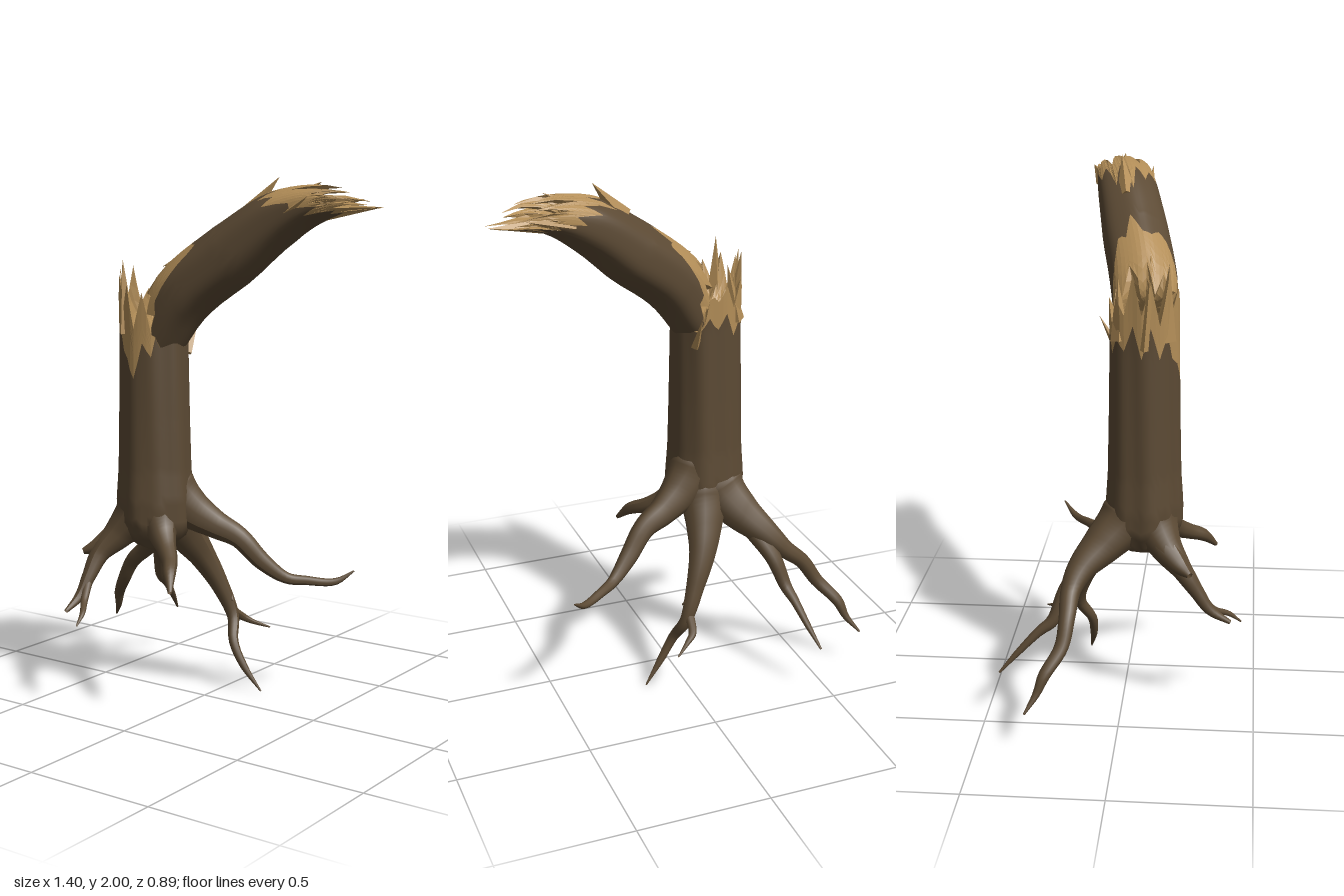
import * as THREE from 'three';
import { ParametricGeometry } from 'three/addons/geometries/ParametricGeometry.js';

const V = (p) => new THREE.Vector3(...p);
const { lerp, clamp, smoothstep } = THREE.MathUtils;
const COLS = 24; // columns around every broken edge

// Small seeded generator for the splinter pattern
function seeded(seed) {
  return () => {
    seed = (seed * 16807) % 2147483647;
    return seed / 2147483647;
  };
}

// Piecewise linear saw pattern around a ring, u in 0..1, values about -1..1
function jagged(seed) {
  const rnd = seeded(seed * 7919);
  const t = Array.from({ length: COLS }, (_, i) => (i % 2 ? 1.2 * rnd() : -0.2 - 0.8 * rnd()));
  return (u) => {
    const x = (((u % 1) + 1) % 1) * COLS, i = Math.floor(x) % COLS;
    return lerp(t[i], t[(i + 1) % COLS], x - Math.floor(x));
  };
}

// Linear lookup in a list of [key, value]
function table(rows, k) {
  for (let i = 1; i < rows.length; i++) {
    const [a, va] = rows[i - 1], [b, vb] = rows[i];
    if (k <= b) return lerp(va, vb, clamp((k - a) / (b - a), 0, 1));
  }
  return rows[rows.length - 1][1];
}

export function createModel() {
  const group = new THREE.Group();
  const bark = new THREE.MeshStandardMaterial({ color: 0x5c4a34, side: THREE.DoubleSide });
  bark.name = 'bark';
  const wood = new THREE.MeshStandardMaterial({ color: 0xb38e58, side: THREE.DoubleSide });
  wood.name = 'bareWood';

  const add = (name, geo, mat) => {
    const m = new THREE.Mesh(geo, mat);
    m.name = name;
    group.add(m);
    return m;
  };

  // Surface around a limb between two edges; at(u, s, target) gives a point on it
  const band = (name, at, from, to, rows) =>
    add(name, new ParametricGeometry((u, v, out) => at(u, lerp(from(u), to(u), v), out), COLS * 2, rows), bark);

  // Splintered edge: outside from border to tip, then back in to a floor on the limb's axis
  const splinters = (name, at, border, tip, mid, floor) => {
    const geo = new ParametricGeometry((u, v, out) => {
      if (v <= 0.5) at(u, lerp(border(u), tip(u), v * 2), out);
      else {
        const k = (v - 0.5) * 2, s = lerp(tip(u), floor, 1 - (1 - k) ** 3);
        at(u, s, out);
        out.lerp(mid(s), k);
      }
    }, COLS * 2, 12).toNonIndexed();
    geo.computeVertexNormals();
    add(name, geo, wood);
  };

  // Trunk
  const profile = [[0.57, 0.001], [0.6, 0.075], [0.64, 0.125], [0.7, 0.15], [0.78, 0.152], [0.9, 0.143], [1.1, 0.138], [1.4, 0.133], [1.75, 0.137]];
  const trunkAt = (u, y, out) => {
    const a = u * Math.PI * 2;
    const r = table(profile, y) * (1 + 0.025 * Math.cos(5 * a + 1) + 0.015 * Math.cos(9 * a + y * 2));
    out.set(-0.183 + Math.cos(a) * r, y, 0.07 - Math.sin(a) * r * 0.95);
  };
  const j1 = jagged(11), j2 = jagged(77);
  // 1 where the trunk stays joined to the fallen part, 0 on the broken side
  const hinge = (u) => {
    const a = u * Math.PI * 2, back = Math.sin(a) > 0 ? 0.3 : 0;
    return smoothstep(Math.cos(a), 0.45 - back, 0.85 - back);
  };
  const trunkTip = (u) =>
    lerp(1.53 - 0.05 * Math.cos(u * Math.PI * 2) + 0.09 * j1(u), 1.4, hinge(u));
  const trunkBorder = (u) => {
    const front = Math.max(0, -Math.sin(u * Math.PI * 2));
    const edge = 1.42 + 0.06 * j2(u) - 0.12 * front ** 6;
    return Math.min(trunkTip(u) - 0.002, lerp(edge, trunkTip(u), hinge(u)));
  };
  band('trunkBark', trunkAt, () => 0.57, trunkBorder, 24);
  splinters('trunkSplinters', trunkAt, trunkBorder, trunkTip, (s) => V([-0.183, s, 0.07]), 1.46);

  // Fallen upper trunk, hinged on the stump
  const axis = new THREE.CatmullRomCurve3([
    [-0.17, 1.4, 0.075], [-0.045, 1.575, 0.06], [0.14, 1.72, 0.015],
    [0.325, 1.855, -0.03], [0.5, 1.91, -0.065], [0.7, 1.897, -0.11]].map(V));
  const high = [[0, 0.11], [0.2, 0.12], [0.4, 0.12], [0.6, 0.1], [0.8, 0.058], [1, 0.008]];
  const wide = [[0, 0.115], [0.2, 0.125], [0.4, 0.125], [0.6, 0.115], [0.8, 0.105], [1, 0.04]];
  const logAt = (u, s, out) => {
    const a = u * Math.PI * 2, t = axis.getTangent(s);
    const up = new THREE.Vector3(0, 1, 0).addScaledVector(t, -t.y).normalize();
    const side = t.clone().cross(up);
    const k = 1 + 0.02 * Math.cos(6 * a);
    out.copy(axis.getPoint(s))
      .addScaledVector(up, Math.cos(a) * table(high, s) * k)
      .addScaledVector(side, Math.sin(a) * table(wide, s) * k);
  };
  const logMid = (s) => axis.getPoint(s);
  const j3 = jagged(301), j4 = jagged(47), j5 = jagged(905), j6 = jagged(63);
  const topness = (u) => Math.cos(u * Math.PI * 2);
  const lowTip = (u) => clamp(0.08 + 0.1 * topness(u) - 0.05 * j3(u) * smoothstep(topness(u), -0.5, 0.2), 0, 1);
  const lowBorder = (u) => lowTip(u) + 0.002 + smoothstep(topness(u), -0.2, 1) * (0.16 + 0.06 * j4(u));
  const endTip = (u) => clamp(0.84 - 0.07 * topness(u) + 0.1 * j5(u), 0, 0.99);
  const endBorder = (u) => Math.min(endTip(u) - 0.02, 0.71 - 0.14 * topness(u) + 0.06 * j6(u));
  band('fallenTrunkBark', logAt, lowBorder, endBorder, 16);
  splinters('fallenTrunkEnd', logAt, endBorder, endTip, logMid, 0.7);
  // The lower break is wound the other way, open towards the stump
  splinters('fallenTrunkBreak', (u, s, o) => logAt(-u, s, o), (u) => lowBorder(-u), (u) => lowTip(-u), logMid, 0.12);

  // Loose long splinters: base, tip, radius
  [
    [[-0.295, 1.4, 0.08], [-0.325, 1.66, 0.1], 0.035],
    [[-0.25, 1.42, 0.15], [-0.26, 1.7, 0.165], 0.04],
    [[-0.27, 1.42, -0.01], [-0.23, 1.64, -0.02], 0.035],
    [[-0.1, 1.34, -0.03], [-0.1, 1.47, -0.1], 0.018],
    [[0.0, 1.66, 0.13], [-0.13, 1.63, 0.13], 0.022],
    [[0.02, 1.73, 0.08], [-0.13, 1.67, 0.09], 0.025],
    [[0.18, 1.86, -0.02], [0.3, 2.0, -0.05], 0.04],
    [[0.33, 1.91, -0.05], [0.48, 1.98, -0.05], 0.03],
    [[0.36, 1.85, 0.05], [0.49, 1.93, 0.06], 0.022],
    [[0.4, 1.88, -0.13], [0.58, 1.92, -0.185], 0.03],
    [[0.45, 1.87, -0.07], [0.695, 1.89, -0.11], 0.035],
  ].forEach(([a, b, r]) => {
    const p = V(a), q = V(b), d = q.clone().sub(p);
    const geo = new THREE.ConeGeometry(r, d.length(), 4).toNonIndexed();
    geo.computeVertexNormals();
    const m = add('splinter', geo, wood);
    m.position.copy(p).lerp(q, 0.5);
    m.quaternion.setFromUnitVectors(new THREE.Vector3(0, 1, 0), d.normalize());
  });

  // Tapering root: a tube whose rings shrink along the given radii
  const root = (name, points, radii) => {
    const curve = new THREE.CatmullRomCurve3(points.map(V));
    const n = points.length * 5, sides = 10;
    const geo = new THREE.TubeGeometry(curve, n, 1, sides, false);
    const pos = geo.attributes.position, v = new THREE.Vector3();
    const keys = radii.map((r, i) => [i / (radii.length - 1), r]);
    for (let i = 0; i <= n; i++) {
      const c = curve.getPointAt(i / n), r = table(keys, curve.getUtoTmapping(i / n));
      for (let j = 0; j <= sides; j++) {
        const k = i * (sides + 1) + j;
        v.fromBufferAttribute(pos, k).sub(c).multiplyScalar(r).add(c);
        pos.setXYZ(k, v.x, v.y, v.z);
      }
    }
    geo.computeVertexNormals();
    add(name, geo, bark);
  };
  root('backRightRoot', [[-0.19, 0.86, 0.06], [-0.22, 0.73, 0.01], [-0.28, 0.645, -0.07], [-0.36, 0.57, -0.15], [-0.42, 0.51, -0.18], [-0.5, 0.44, -0.185], [-0.56, 0.35, -0.2], [-0.63, 0.27, -0.255], [-0.655, 0.21, -0.28], [-0.7, 0.15, -0.32]],
    [0.08, 0.105, 0.08, 0.052, 0.037, 0.03, 0.026, 0.022, 0.014, 0.004]);
  root('backRightBranch', [[-0.3, 0.61, -0.1], [-0.365, 0.49, -0.2], [-0.4, 0.38, -0.25], [-0.415, 0.34, -0.3], [-0.44, 0.26, -0.38], [-0.465, 0.19, -0.445]],
    [0.045, 0.032, 0.024, 0.018, 0.012, 0.004]);
  root('frontRightRoot', [[-0.19, 0.86, 0.08], [-0.235, 0.73, 0.11], [-0.29, 0.645, 0.16], [-0.335, 0.57, 0.225], [-0.345, 0.49, 0.28], [-0.35, 0.42, 0.33], [-0.355, 0.375, 0.405]],
    [0.08, 0.095, 0.062, 0.038, 0.027, 0.02, 0.008]);
  root('frontRightBranch', [[-0.345, 0.48, 0.285], [-0.32, 0.41, 0.34], [-0.28, 0.375, 0.4], [-0.27, 0.34, 0.445]],
    [0.02, 0.014, 0.01, 0.003]);
  root('frontRightStub', [[-0.28, 0.66, 0.14], [-0.35, 0.595, 0.215], [-0.395, 0.575, 0.255]], [0.06, 0.035, 0.012]);
  root('frontLeftRoot', [[-0.17, 0.88, 0.075], [-0.14, 0.745, 0.11], [-0.09, 0.665, 0.15], [-0.04, 0.62, 0.19], [0.01, 0.585, 0.235], [0.05, 0.555, 0.29], [0.09, 0.5, 0.34]],
    [0.08, 0.09, 0.055, 0.038, 0.03, 0.025, 0.008]);
  root('leftRoot', [[-0.17, 0.95, 0.065], [-0.125, 0.82, 0.04], [-0.06, 0.745, 0.01], [0.03, 0.685, -0.03], [0.12, 0.64, -0.06], [0.2, 0.55, -0.1], [0.28, 0.485, -0.15], [0.34, 0.475, -0.195], [0.43, 0.47, -0.26], [0.485, 0.51, -0.31]],
    [0.08, 0.1, 0.08, 0.056, 0.042, 0.035, 0.022, 0.018, 0.014, 0.003]);
  root('backRoot', [[-0.18, 0.86, 0.06], [-0.155, 0.72, 0.01], [-0.13, 0.62, -0.06], [-0.1, 0.53, -0.12], [-0.05, 0.41, -0.17], [0.0, 0.28, -0.195], [0.035, 0.19, -0.15], [0.085, 0.1, -0.148], [0.155, 0.005, -0.165]],
    [0.08, 0.1, 0.075, 0.055, 0.037, 0.024, 0.019, 0.015, 0.003]);
  root('backBranch', [[-0.015, 0.31, -0.19], [0.0, 0.26, -0.265], [0.03, 0.24, -0.29], [0.085, 0.215, -0.335]], [0.02, 0.015, 0.01, 0.003]);
  root('backTwig', [[-0.03, 0.37, -0.18], [0.02, 0.36, -0.18], [0.06, 0.345, -0.172]].map(([x, y, z]) => [x * 0.5 - 0.02, y, z - 0.01]), [0.02, 0.012, 0.003]);

  return group;
}
